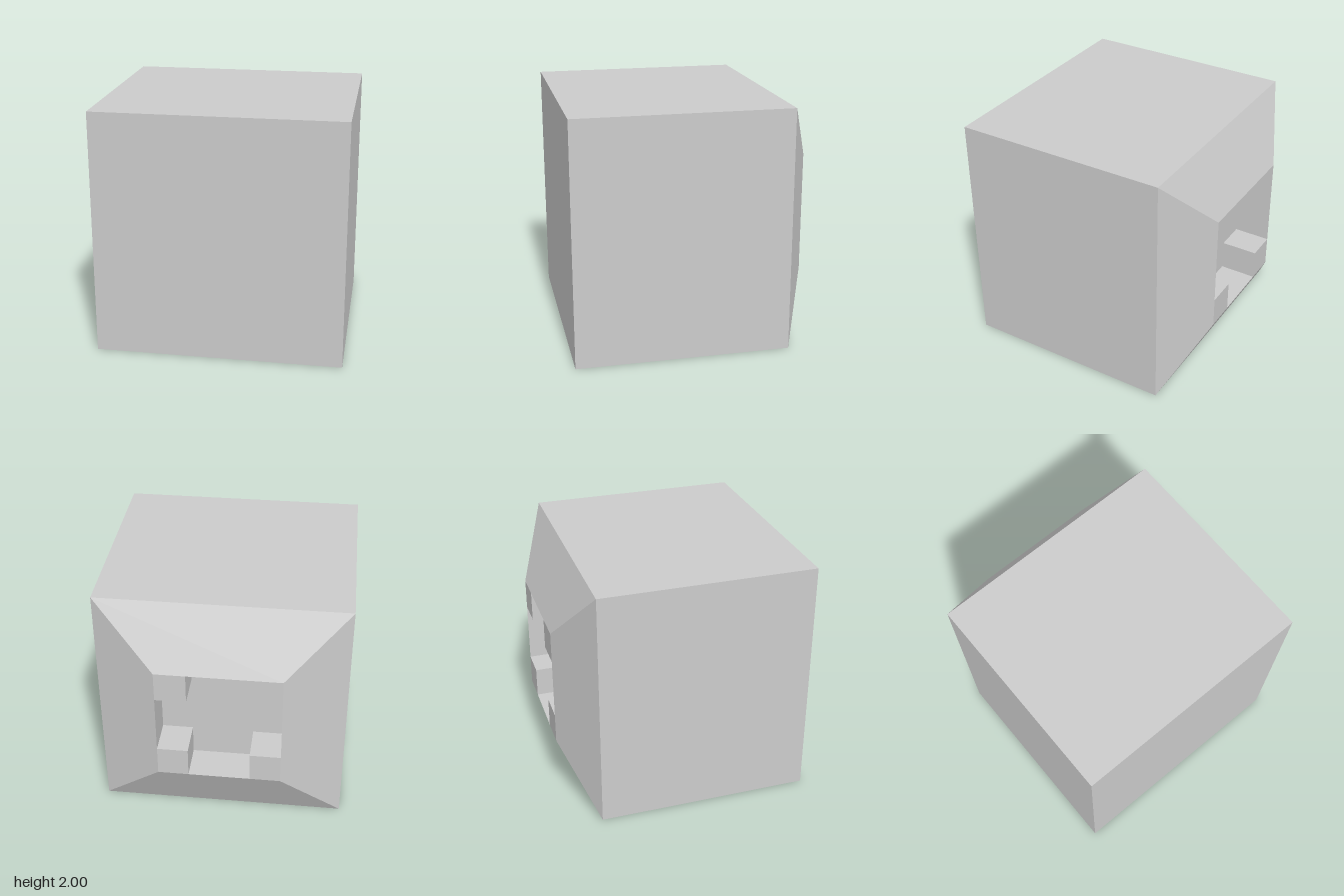
import * as THREE from 'three';

const material = new THREE.MeshStandardMaterial({ color: 0xcccccc, flatShading: true });

function addMesh(parent, name, geometry) {
  const mesh = new THREE.Mesh(geometry, material);
  mesh.name = name;
  parent.add(mesh);
  return mesh;
}

export function createModel() {
  const model = new THREE.Group();
  model.name = 'recessedBlock';

  const half = 1;        // half width of the block
  const openHalf = 0.5;  // half width of the recess
  const depth = 0.3;     // depth of the recess
  const post = 0.25;     // side of the corner posts

  // Four-sided shell: front face, sides, sloped back and square recess
  const profile = [
    [0, -1], [half, -1], [half, 0.75], [openHalf, 1], [openHalf, 1 - depth], [0, 1 - depth],
  ].map(([h, y]) => new THREE.Vector2(h * Math.SQRT2, y));
  const shell = new THREE.LatheGeometry(profile, 4, Math.PI / 4).rotateX(-Math.PI / 2).toNonIndexed();
  shell.computeVertexNormals();
  addMesh(model, 'body', shell).position.y = 1;

  // Corner posts leave a plus-shaped opening
  const offset = openHalf - post / 2;
  for (const sx of [-1, 1]) {
    for (const sy of [-1, 1]) {
      const name = (sy > 0 ? 'upper' : 'lower') + (sx > 0 ? 'Left' : 'Right') + 'CornerPost';
      addMesh(model, name, new THREE.BoxGeometry(post, post, depth))
        .position.set(sx * offset, 1 + sy * offset, -1 + depth / 2);
    }
  }
  return model;
}
